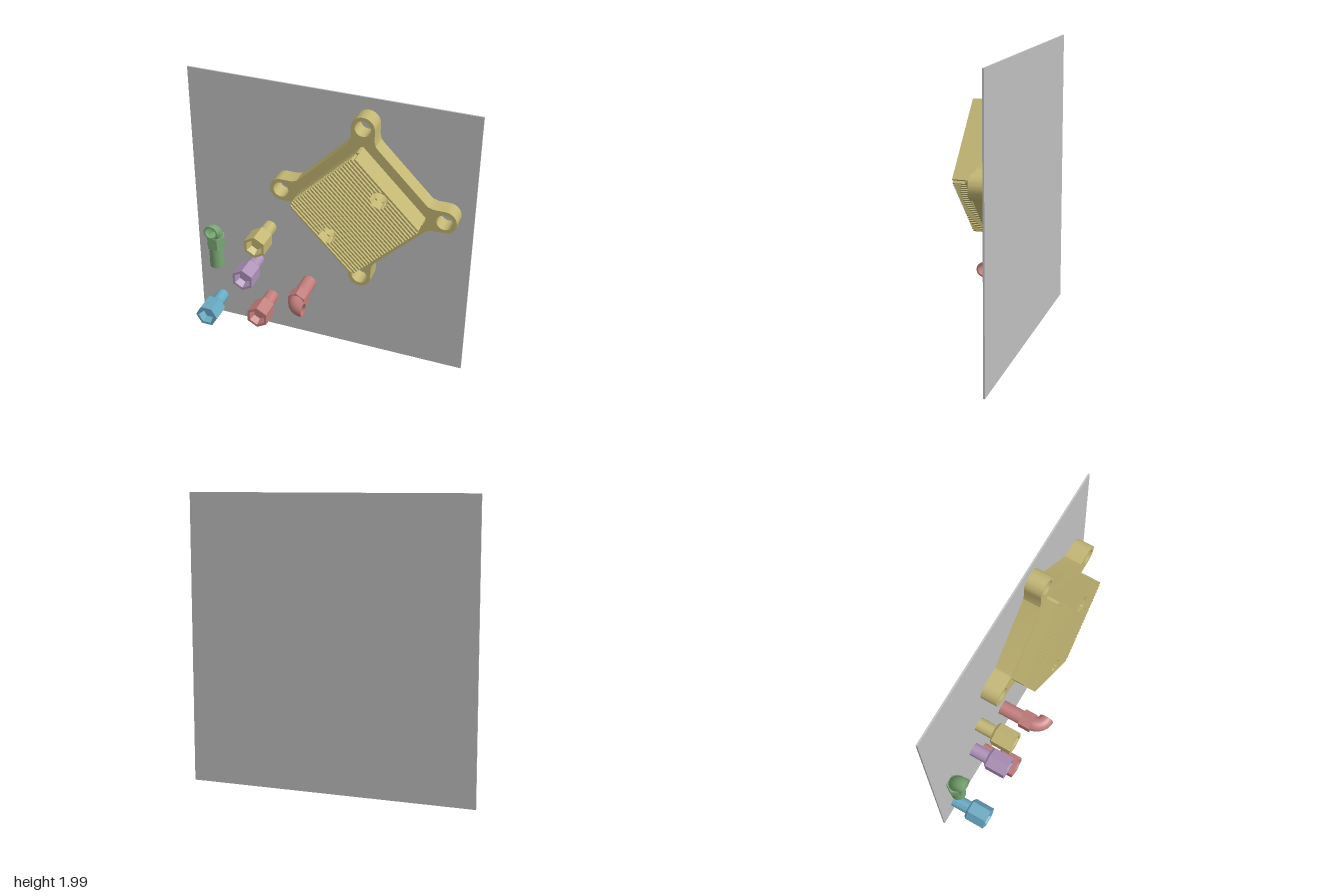
import * as THREE from 'three';
import { toCreasedNormals } from 'three/addons/utils/BufferGeometryUtils.js';

const mat = (name, color) => {
  const m = new THREE.MeshStandardMaterial({ color });
  m.name = name;
  return m;
};
const V = (x, y) => new THREE.Vector2(x, y);

function add(parent, name, geo, material, x = 0, y = 0, z = 0) {
  const m = new THREE.Mesh(geo, material);
  m.name = name;
  m.position.set(x, y, z);
  parent.add(m);
  return m;
}

function circleHole(shape, x, y, r) {
  const p = new THREE.Path();
  p.absarc(x, y, r, 0, Math.PI * 2, true);
  shape.holes.push(p);
}

// Extrusion between two depths
function slab(shape, z0, z1) {
  const g = new THREE.ExtrudeGeometry(shape, { depth: z1 - z0, bevelEnabled: false, curveSegments: 32 });
  g.translate(0, 0, z0);
  return toCreasedNormals(g, 0.4);
}

// Revolved profile of [radius, z] along z; six sides give a faceted hexagon
function turned(profile, sides) {
  const g = new THREE.LatheGeometry(profile.map(([r, z]) => V(r, z)), sides);
  g.rotateX(Math.PI / 2);
  return toCreasedNormals(g, 0.4);
}

// Straight fitting: round stem, hexagonal head with tapered socket
function hexFitting(name, material, x, y, turn) {
  const g = new THREE.Group();
  g.name = name;
  add(g, 'stem', turned([[0, -0.18], [0.048, -0.18], [0.048, -0.05]], 32), material);
  add(g, 'socketHead', turned([
    [0, -0.055], [0.07, -0.055], [0.083, -0.04], [0.083, 0.103],
    [0.063, 0.103], [0.047, 0.05], [0, 0.05],
  ], 6), material);
  g.position.set(x, y, 0);
  g.rotation.z = turn;
  return g;
}

// Elbow fitting: stem along z, hexagonal collar, hollow quarter bend towards +x
function elbowFitting(name, material) {
  const g = new THREE.Group();
  g.name = name;
  add(g, 'stem', turned([[0, -0.18], [0.052, -0.18], [0.052, 0]], 32), material);
  add(g, 'collar', turned([[0, -0.015], [0.07, -0.015], [0.07, 0.075], [0, 0.075]], 6), material);
  const R = 0.08, r = 0.053, bore = 0.042;
  const place = new THREE.Matrix4().makeBasis(
    new THREE.Vector3(-1, 0, 0), new THREE.Vector3(0, 0, 1), new THREE.Vector3(0, 1, 0),
  ).setPosition(R, 0, 0.06);
  const bend = (radius) => new THREE.TorusGeometry(R, radius, 32, 20, Math.PI / 2).applyMatrix4(place);
  add(g, 'bend', bend(r), material);
  const inner = bend(bore);
  inner.index.array.reverse();
  inner.computeVertexNormals();
  add(g, 'bore', inner, material);
  const rim = new THREE.RingGeometry(bore, r, 32).rotateY(Math.PI / 2);
  add(g, 'rim', rim, material, R, 0, 0.06 + R);
  return g;
}

function heatSink(material) {
  const g = new THREE.Group();
  g.name = 'heatSink';

  // Diamond flange with a drilled lug on each corner
  const pts = [];
  for (let k = 0; k < 4; k++) {
    const lug = [V(0.43, -0.11), V(0.455, -0.089), V(0.49, -0.08)];
    for (let i = 0; i <= 24; i++) {
      const a = -Math.PI / 2 + (i / 24) * Math.PI;
      lug.push(V(0.565 + 0.08 * Math.cos(a), 0.08 * Math.sin(a)));
    }
    lug.push(V(0.49, 0.08), V(0.455, 0.089), V(0.43, 0.11));
    lug.forEach((p) => pts.push(p.rotateAround(V(0, 0), k * Math.PI / 2)));
  }
  const flange = new THREE.Shape(pts);
  for (const [x, y] of [[1, 0], [0, 1], [-1, 0], [0, -1]]) circleHole(flange, x * 0.565, y * 0.565, 0.054);
  add(g, 'flange', slab(flange, -0.18, -0.06), material);

  // Finned core, turned by 45 degrees
  const core = new THREE.Group();
  core.name = 'finnedCore';
  core.rotation.z = Math.PI / 4;
  g.add(core);
  const h = 0.316, c = 0.012, hu = 0.243, hr = 0.059;
  const body = new THREE.Shape([
    V(-h + c, -h), V(h - c, -h), V(h, -h + c), V(h, h - c),
    V(h - c, h), V(-h + c, h), V(-h, h - c), V(-h, -h + c),
  ]);
  circleHole(body, hu, 0, hr);
  circleHole(body, -hu, 0, hr);
  add(core, 'coreBody', slab(body, -0.06, 0.02), material);

  // Fins, interrupted where the two round pockets pass
  const count = 27, w = 0.0125;
  const cut = (u) => Math.sqrt(Math.max(0, hr * hr - (Math.abs(u) - hu) ** 2));
  for (let i = 0; i < count; i++) {
    const u0 = -h + (i / (count - 1)) * (2 * h - w), u1 = u0 + w;
    const e = i === 0 || i === count - 1 ? h - c : h;
    const a = cut(u0), b = cut(u1);
    if (a + b === 0) {
      add(core, 'fin', slab(new THREE.Shape([V(u0, -e), V(u1, -e), V(u1, e), V(u0, e)]), 0.02, 0.103), material);
    } else {
      add(core, 'fin', slab(new THREE.Shape([V(u0, a), V(u1, b), V(u1, e), V(u0, e)]), 0.02, 0.103), material);
      add(core, 'fin', slab(new THREE.Shape([V(u0, -e), V(u1, -e), V(u1, -b), V(u0, -a)]), 0.02, 0.103), material);
    }
  }
  return g;
}

export function createModel() {
  const grey = mat('plate grey', 0xc0c0c0);
  const khaki = mat('khaki', 0xc2b673);
  const green = mat('green', 0x7aa874);
  const red = mat('dusty red', 0xc07d7b);
  const purple = mat('lilac', 0xad91b8);
  const blue = mat('blue', 0x68a8c2);

  const model = new THREE.Group();
  model.name = 'fittingsPanel';

  // Backing plate
  add(model, 'backPlate', new THREE.BoxGeometry(2, 1.99, 0.011), grey, 0, 0.995, -0.1845);

  const sink = heatSink(khaki);
  sink.position.set(0.268, 1.263, 0);
  model.add(sink);

  model.add(
    hexFitting('khakiFitting', khaki, -0.436, 0.859, 0),
    hexFitting('lilacFitting', purple, -0.537, 0.557, 0),
    hexFitting('redFitting', red, -0.436, 0.255, 0),
    hexFitting('blueFitting', blue, -0.839, 0.155, Math.PI / 6),
  );

  // Elbow facing out from the plate
  const redElbow = elbowFitting('redElbow', red);
  redElbow.position.set(-0.144, 0.457, 0);
  model.add(redElbow);

  // Upright elbow with its mouth to the front
  const greenElbow = elbowFitting('greenElbow', green);
  greenElbow.applyMatrix4(new THREE.Matrix4().makeBasis(
    new THREE.Vector3(0, 0, 1), new THREE.Vector3(1, 0, 0), new THREE.Vector3(0, 1, 0),
  ).setPosition(-0.839, 0.65, -0.122));
  model.add(greenElbow);

  return model;
}
